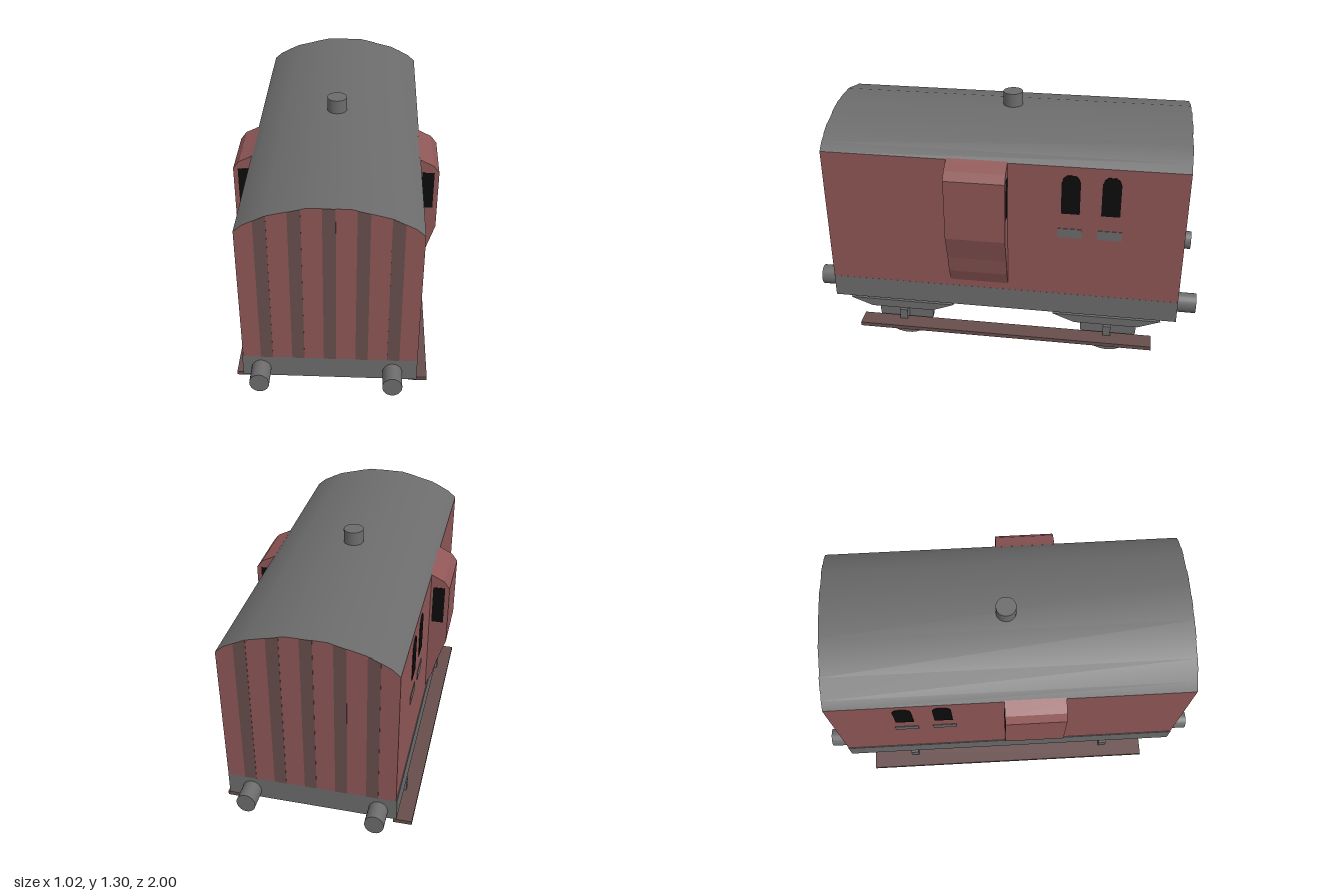
import * as THREE from 'three';
import { toCreasedNormals } from 'three/addons/utils/BufferGeometryUtils.js';

const mat = (name, color) => Object.assign(new THREE.MeshStandardMaterial({ color }), { name });

export function createModel() {
  const red = mat('maroon paint', 0x905757);
  const brown = mat('dark brown', 0x674e4d);
  const grey = mat('grey metal', 0x6c6c6c);
  const black = mat('black glass', 0x0c0c0c);

  const van = new THREE.Group();
  van.name = 'brakeVan';
  const CX = -0.005; // centre line of the van

  const add = (name, geo, material, x = 0, y = 0, z = 0) => {
    const mesh = new THREE.Mesh(geo, material);
    mesh.name = name;
    mesh.position.set(x, y, z);
    van.add(mesh);
    return mesh;
  };
  const box = (name, w, h, d, material, x, y, z) =>
    add(name, new THREE.BoxGeometry(w, h, d), material, x, y, z);
  // Extrusion centred along its depth
  const prism = (points, depth) => {
    const shape = new THREE.Shape(points.map(([x, y]) => new THREE.Vector2(x, y)));
    return new THREE.ExtrudeGeometry(shape, { depth, bevelEnabled: false }).translate(0, 0, -depth / 2);
  };

  // Body and underframe
  box('body', 0.83, 0.73, 1.8, red, CX, 0.74, 0);
  box('chassis', 0.835, 0.12, 1.8, grey, CX - 0.002, 0.315, 0);

  // Arched roof: painted ends, grey top
  const arch = [[0.415, 1.105], [0.375, 1.14], [0.275, 1.19], [0.095, 1.235]];
  const roofLine = [...arch, ...arch.map(([x, y]) => [-x, y]).reverse()];
  add('roof', toCreasedNormals(prism(roofLine, 1.8), 0.6), [red, grey], CX, 0, 0);
  const vent = new THREE.CylinderGeometry(0.05, 0.05, 0.105, 24);
  add('roofVent', vent, grey, -0.01, 1.2525, 0);

  // Height of the roof line at a distance from the centre
  const roofY = (x) => {
    const a = Math.abs(x);
    for (let i = arch.length - 1; i > 0; i--) {
      const [x1, y1] = arch[i], [x0, y0] = arch[i - 1];
      if (a <= x1) return y1;
      if (a <= x0) return y1 + (y0 - y1) * (a - x1) / (x0 - x1);
    }
    return arch[0][1];
  };

  // Vertical stripes on both ends
  for (const end of [1, -1]) {
    for (let i = -2; i <= 2; i++) {
      const a = i * 0.15 - 0.029, b = i * 0.15 + 0.029;
      const stripe = prism([[a, 0.375], [b, 0.375], [b, roofY(b)], [a, roofY(a)]], 0.004);
      add('endStripe', stripe, brown, CX, 0, end * 0.9);
    }
    // Buffers
    for (const x of [-0.335, 0.293]) {
      const buffer = new THREE.CylinderGeometry(0.047, 0.047, 0.11, 24).rotateX(Math.PI / 2);
      add('buffer', buffer.scale(1, 1.13, 1), grey, x, 0.298, end * 0.945);
    }
  }

  const windowOutline = [[-0.046, 0.85], [0.046, 0.85], [0.046, 1.02], [0.037, 1.045],
    [0.02, 1.06], [-0.02, 1.06], [-0.037, 1.045], [-0.046, 1.02]];
  const lookoutProfile = [[0.41, 0.4], [0.445, 0.485], [0.468, 0.58], [0.51, 0.715],
    [0.51, 1.035], [0.48, 1.075], [0.435, 1.097], [0.41, 1.11]];
  const springOutline = [[-0.28, 0.235], [-0.165, 0.19], [0.165, 0.19], [0.28, 0.235]];

  for (const s of [1, -1]) {
    const side = (x) => CX + s * x;

    // Projecting lookout with a narrow window fore and aft
    const lookout = prism(lookoutProfile.map(([x, y]) => [s * x, y]), 0.3);
    add('lookout', lookout, red, CX, 0, 0.12);
    for (const z of [0.27, -0.03])
      box('lookoutWindow', 0.06, 0.205, 0.004, black, side(0.457), 0.933, z);

    // Arched side windows with plates beneath
    for (const z of [-0.338, -0.534]) {
      const pane = prism(windowOutline, 0.006).rotateY(Math.PI / 2);
      add('sideWindow', pane, black, side(0.415), 0, z);
      box('sidePlate', 0.006, 0.05, 0.12, grey, side(0.415), 0.74, z);
    }

    // Wheels, springs and axle boxes
    for (const z of [0.532, -0.555]) {
      const wheel = new THREE.CylinderGeometry(0.146, 0.146, 0.026, 40).rotateZ(Math.PI / 2);
      add('wheel', wheel, grey, side(0.353), 0.146, z);
      const spring = prism(springOutline, 0.045).rotateY(Math.PI / 2);
      add('leafSpring', spring, grey, side(0.38), 0, z + 0.012);
      box('axleBox', 0.052, 0.08, 0.04, grey, side(0.388), 0.145, z + 0.005);
    }

    // Long footboard
    box('footboard', 0.094, 0.021, 1.54, brown, side(0.432), 0.118, -0.012);
  }

  return van;
}
